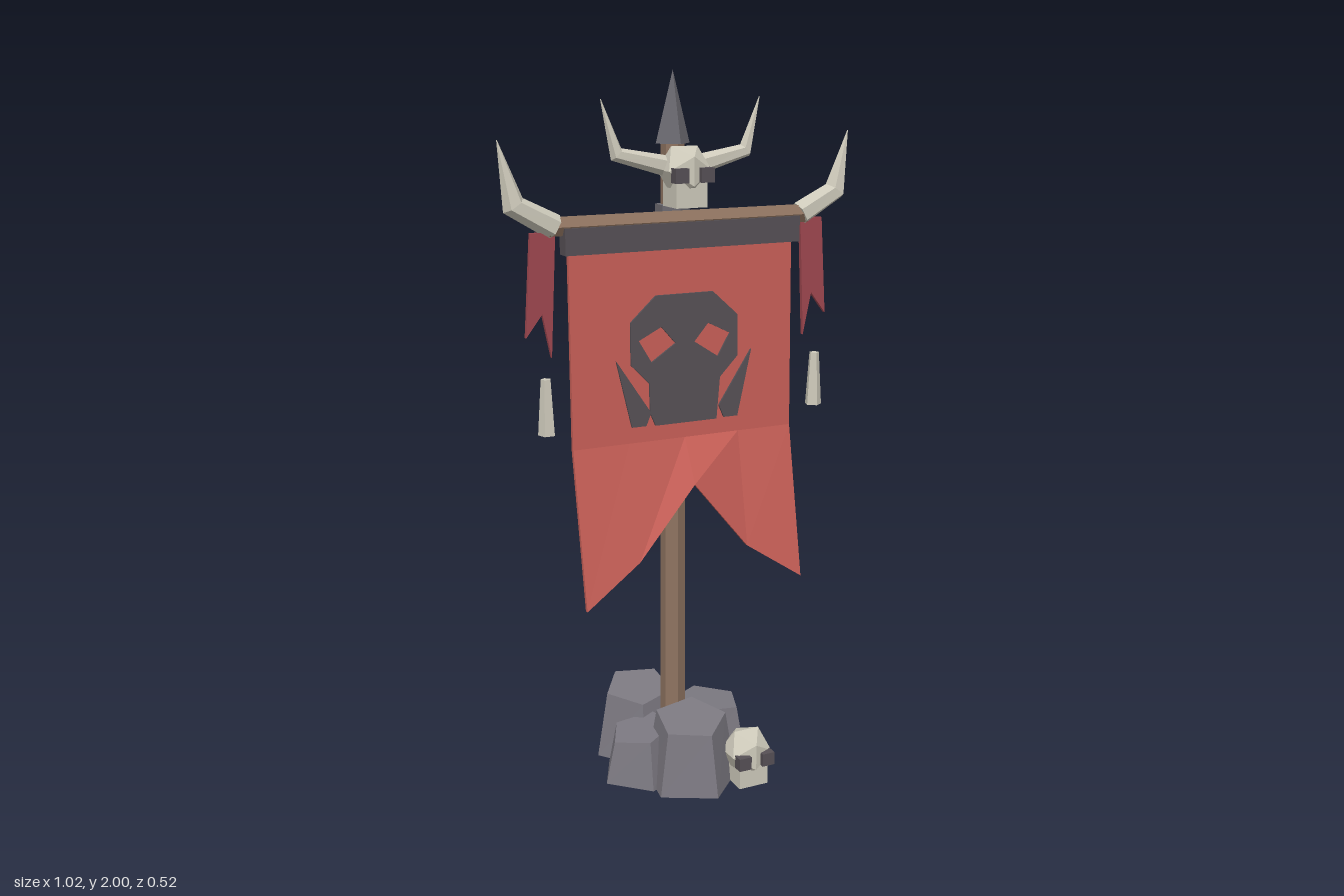
import * as THREE from 'three';

const mat = (name, color, side = THREE.FrontSide) => {
  const m = new THREE.MeshStandardMaterial({ color, side });
  m.name = name;
  return m;
};

export function createModel() {
  const root = new THREE.Group();
  root.name = 'warBanner';
  const wood = mat('wood', 0x8e7360);
  const cloth = mat('redCloth', 0xc75f57);
  const ribbonRed = mat('darkRedCloth', 0x9e474f);
  const dark = mat('charcoal', 0x565055);
  const bone = mat('bone', 0xcdc9ba);
  const stone = mat('stone', 0x7b7880);
  const iron = mat('iron', 0x6b6970);

  // Adds a faceted mesh
  const add = (name, geo, material, x = 0, y = 0, z = 0, parent = root) => {
    const g = geo.index ? geo.toNonIndexed() : geo;
    g.computeVertexNormals();
    const mesh = new THREE.Mesh(g, material);
    mesh.name = name;
    mesh.position.set(x, y, z);
    parent.add(mesh);
    return mesh;
  };
  const box = (w, h, d) => new THREE.BoxGeometry(w, h, d);
  const shapeOf = (pts) => new THREE.Shape(pts.map(([x, y]) => new THREE.Vector2(x, y)));
  const plate = (shape, depth) => new THREE.ExtrudeGeometry(shape, { depth, bevelEnabled: false });
  const warp = (geo, rule) => {
    const p = geo.attributes.position;
    const v = new THREE.Vector3();
    for (let i = 0; i < p.count; i++) {
      rule(v.fromBufferAttribute(p, i));
      p.setXYZ(i, v.x, v.y, v.z);
    }
    return geo;
  };

  // Pole, crossbar and fittings
  add('pole', new THREE.CylinderGeometry(0.032, 0.037, 1.82, 6), wood, 0, 0.91, 0);
  add('spearTip', new THREE.ConeGeometry(0.05, 0.19, 4), iron, 0, 1.905, 0);
  add('poleBand', new THREE.CylinderGeometry(0.048, 0.048, 0.07, 6), iron, 0, 1.615, 0);
  const bar = new THREE.CylinderGeometry(0.027, 0.027, 0.76, 6);
  bar.rotateZ(Math.PI / 2);
  add('crossbar', bar, wood, 0, 1.613, 0.055);
  add('bannerHem', box(0.69, 0.07, 0.04), dark, 0, 1.575, 0.067);

  // Hanging cloth: straight above the fold, swept forward below it
  const clothZ = (y) => 0.06 + (1.6 - y) * 0.02;
  const lower = [[0.59, 0.155], [0.7, 0.136], [0.9, 0.136]];
  const banner = warp(new THREE.BoxGeometry(0.66, 3, 0.012, 4, 3, 1), (v) => {
    const row = Math.round(1.5 - v.y);
    const col = 2 - Math.round(Math.abs(v.x) / 0.165);
    if (row === 3) {
      v.y = lower[col][0];
      v.z += lower[col][1];
    } else {
      v.y = [1.6, 1.3, 1.02][row];
      v.z += clothZ(v.y);
    }
  });
  add('bannerCloth', banner, cloth);

  // Skull emblem and tusks, painted on both faces
  const skull = shapeOf([[-0.085, 1.418], [-0.16, 1.35], [-0.16, 1.235], [-0.106, 1.18], [-0.106, 1.1],
    [-0.09, 1.063], [0.095, 1.063], [0.106, 1.18], [0.16, 1.235], [0.16, 1.35], [0.085, 1.418]]);
  for (const s of [-1, 1]) {
    skull.holes.push(new THREE.Path([[0.137, 1.3], [0.07, 1.333], [0.028, 1.285], [0.1, 1.238]]
      .map(([x, y]) => new THREE.Vector2(s * x, y))));
  }
  const tusk = (s) => shapeOf([[0.203, 1.25], [0.16, 1.065], [0.118, 1.065], [0.103, 1.1]]
    .map(([x, y]) => [s * x, y]));
  for (const [side, z] of [['Front', 0.006], ['Back', -0.012]]) {
    for (const [name, shape] of [['emblemSkull', skull], ['emblemTuskLeft', tusk(1)], ['emblemTuskRight', tusk(-1)]]) {
      add(name + side, warp(plate(shape, 0.006), (v) => { v.z += z + clothZ(v.y); }), dark);
    }
  }

  // Tapered horn lofted through rings, capped at the root and pointed at the tip
  const horn = (stations, sides = 6) => {
    const n = stations.length;
    const c = stations.map(([x, y]) => new THREE.Vector2(x, y));
    const pos = [];
    const idx = [];
    stations.forEach(([x, y, r], i) => {
      const t = c[Math.min(i + 1, n - 1)].clone().sub(c[Math.max(i - 1, 0)]).normalize();
      for (let k = 0; k < sides; k++) {
        const a = (k / sides) * Math.PI * 2;
        pos.push(x - t.y * Math.cos(a) * r, y + t.x * Math.cos(a) * r, Math.sin(a) * r);
      }
    });
    for (let i = 0; i < n - 1; i++) {
      for (let k = 0; k < sides; k++) {
        const a = i * sides + k;
        const b = i * sides + (k + 1) % sides;
        idx.push(a, b, a + sides, b, b + sides, a + sides);
      }
    }
    for (let k = 1; k < sides - 1; k++) idx.push(0, k + 1, k);
    const g = new THREE.BufferGeometry();
    g.setAttribute('position', new THREE.Float32BufferAttribute(pos, 3));
    g.setIndex(idx);
    return g;
  };

  // Pieces mirrored on each side
  for (const s of [1, -1]) {
    const side = s > 0 ? 'Left' : 'Right';
    const half = new THREE.Group();
    half.name = 'trim' + side;
    if (s < 0) half.rotation.y = Math.PI;
    root.add(half);
    const z = 0.055 * s;
    add('barHorn' + side, horn([[0.362, 1.612, 0.034], [0.472, 1.672, 0.032], [0.51, 1.835, 0.001]]), bone, 0, 0, z, half);
    add('skullHorn' + side, horn([[0.05, 1.757, 0.027], [0.188, 1.79, 0.021], [0.23, 1.93, 0.001]]), bone, 0, 0, z, half);
    const ribbon = shapeOf([[0.362, 1.6], [0.378, 1.272], [0.402, 1.39], [0.448, 1.33], [0.43, 1.6]]);
    add('ribbon' + side, plate(ribbon, 0.012), ribbonRed, 0, 0, z - 0.006, half);
    add('boneCharm' + side, new THREE.CylinderGeometry(0.014, 0.024, 0.15, 5), bone, 0.404, 1.148, 0.082 * s, half);
  }

  // Skulls with jaw and square eyes
  const addSkull = (name, x, y, z) => {
    const g = new THREE.Group();
    g.name = name;
    g.position.set(x, y, z);
    root.add(g);
    add('cranium', new THREE.IcosahedronGeometry(0.073, 0), bone, 0, 0, 0, g);
    add('jaw', box(0.09, 0.07, 0.085), bone, 0, -0.06, 0.006, g);
    for (const s of [-1, 1]) add('eyeSocket', box(0.038, 0.038, 0.03), dark, s * 0.037, -0.01, 0.053, g);
  };
  addSkull('topSkull', 0, 1.745, 0.07);
  addSkull('baseSkull', 0.146, 0.095, 0.187);

  // Five-sided boulders: x, z, radius, height, turn, slope in x and z of the top
  const rocks = [
    [-0.05, -0.135, 0.135, 0.2, 3.48, 0.05, -0.15],
    [0.135, -0.04, 0.132, 0.16, 3.1, -0.08, 0],
    [0, 0.12, 0.138, 0.195, 0.15, 0.05, -0.15],
    [-0.11, 0.02, 0.122, 0.14, -1.4, 0.2, 0],
  ];
  rocks.forEach(([x, z, r, h, turn, sx, sz], i) => {
    const g = new THREE.CylinderGeometry(r * 0.76, r, h, 5);
    g.rotateY(turn);
    g.translate(0, h / 2, 0);
    warp(g, (v) => { if (v.y > h / 2) v.y += v.x * sx + v.z * sz; });
    add('rock' + (i + 1), g, stone, x, 0, z);
  });

  return root;
}
